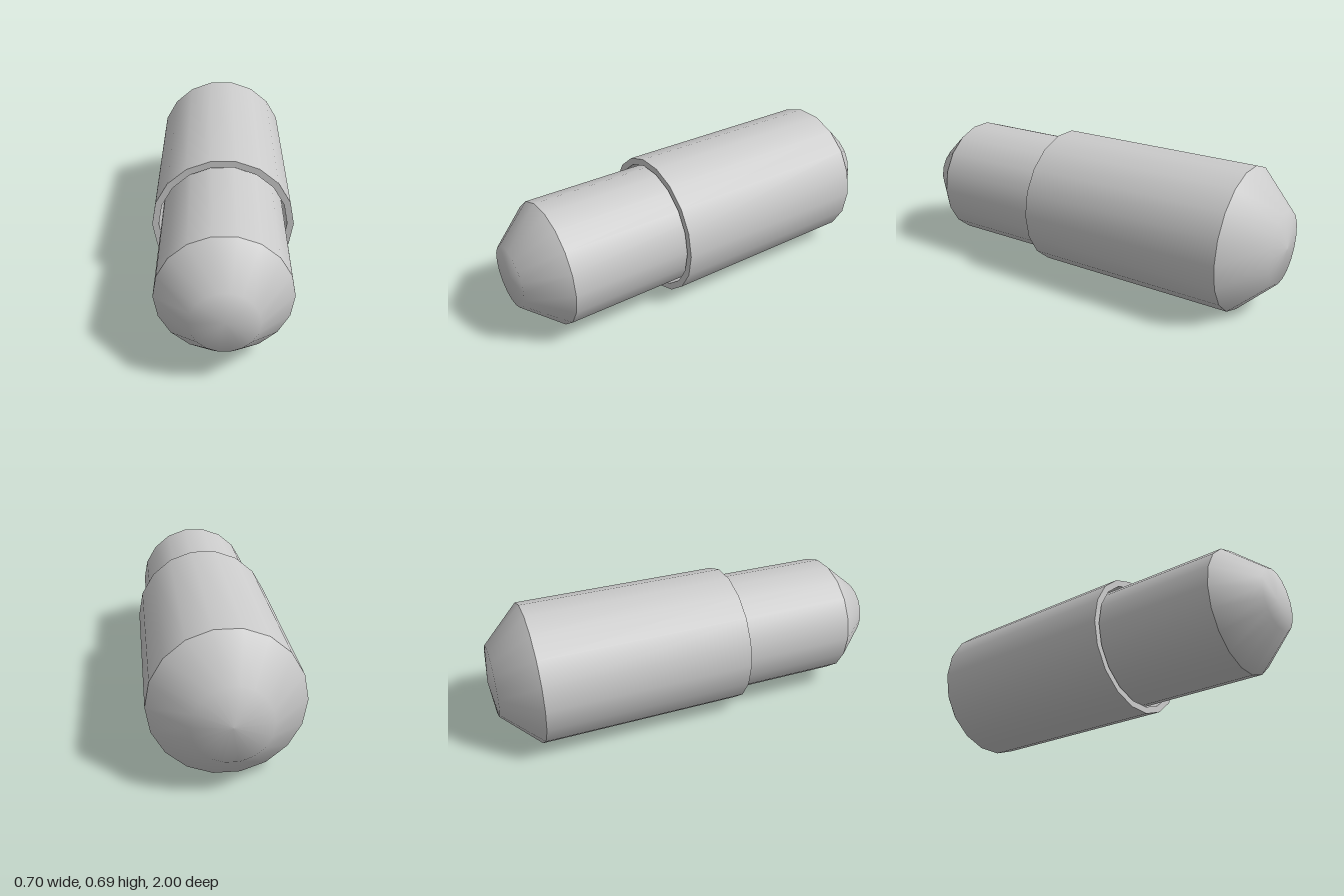
import * as THREE from 'three';

const SIDES = 18;
const CENTRE_Y = 0.345;

export function createModel() {
  const model = new THREE.Group();
  model.name = 'slidingCylinder';
  const material = new THREE.MeshStandardMaterial({ color: 0xcccccc });

  // Revolves [radius, z] points around the z axis; z rising gives outward faces
  function revolve(parent, name, profile) {
    const points = profile.map(([r, z]) => new THREE.Vector2(r, z));
    const geometry = new THREE.LatheGeometry(points, SIDES, Math.PI / 2);
    geometry.rotateX(Math.PI / 2);
    const mesh = new THREE.Mesh(geometry, material);
    mesh.name = name;
    parent.add(mesh);
  }

  function addGroup(name) {
    const group = new THREE.Group();
    group.name = name;
    group.position.y = CENTRE_Y;
    model.add(group);
    return group;
  }

  // Hollow outer sleeve with a domed back, open at the front
  const sleeve = addGroup('sleeve');
  revolve(sleeve, 'sleeveDome', [[0, -1], [0.175, -0.98], [0.35, -0.8]]);
  revolve(sleeve, 'sleeveWall', [[0.35, -0.8], [0.35, 0.235]]);
  revolve(sleeve, 'sleeveRim', [[0.35, 0.235], [0.317, 0.235]]);
  revolve(sleeve, 'sleeveBore', [[0.317, 0.235], [0.317, -0.8]]);
  revolve(sleeve, 'sleeveBoreEnd', [[0.317, -0.8], [0.16, -0.95], [0, -0.97]]);

  // Inner plunger with a blunt tapered nose
  const plunger = addGroup('plunger');
  revolve(plunger, 'plungerBack', [[0, -0.75], [0.305, -0.75]]);
  revolve(plunger, 'plungerWall', [[0.305, -0.75], [0.305, 0.82]]);
  revolve(plunger, 'plungerNose', [[0.305, 0.82], [0.15, 1], [0, 1]]);

  return model;
}
